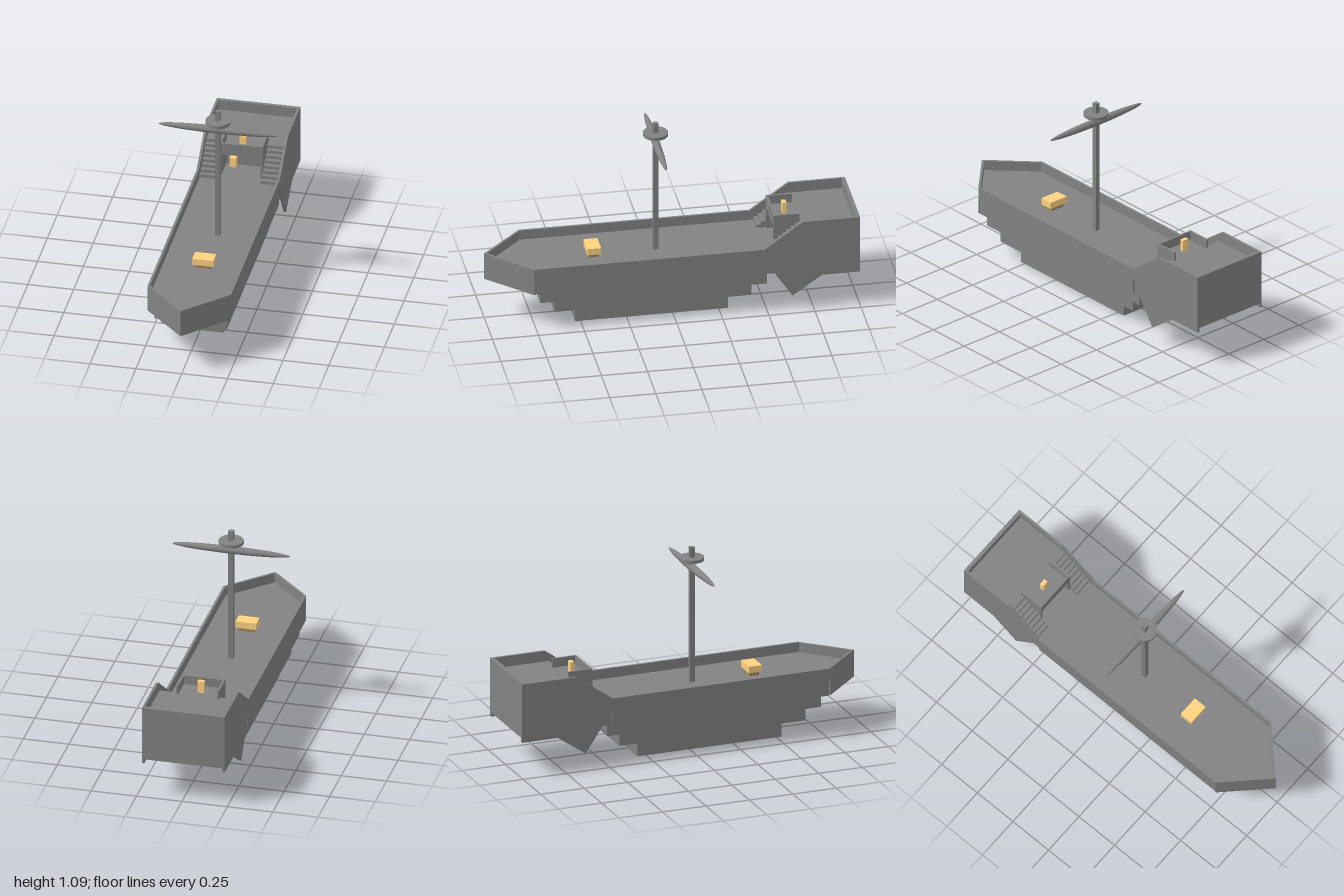
import * as THREE from 'three';

const grey = new THREE.MeshStandardMaterial({ color: 0x828282 });
const gold = new THREE.MeshStandardMaterial({ color: 0xffd280 });
const darkGold = new THREE.MeshStandardMaterial({ color: 0xa08858 });

export function createModel() {
  const ship = new THREE.Group();
  ship.name = 'ship';
  const W = 0.228; // half beam
  const T = 0.013; // plank thickness

  const add = (parent, name, geo, mat = grey) => {
    const mesh = new THREE.Mesh(geo, mat);
    mesh.name = name;
    parent.add(mesh);
    return mesh;
  };
  // box from its minimum and maximum on each axis
  const box = (parent, name, x0, x1, y0, y1, z0, z1, mat) => {
    const mesh = add(parent, name, new THREE.BoxGeometry(x1 - x0, y1 - y0, z1 - z0), mat);
    mesh.position.set((x0 + x1) / 2, (y0 + y1) / 2, (z0 + z1) / 2);
    return mesh;
  };
  const shape = (pts) => new THREE.Shape(pts.map(([a, b]) => new THREE.Vector2(a, b)));
  // plan outline (x, z) raised from y0 to y1
  const plan = (parent, name, pts, y0, y1) => {
    const geo = new THREE.ExtrudeGeometry(shape(pts.map(([x, z]) => [x, -z])), { depth: y1 - y0, bevelEnabled: false });
    geo.rotateX(-Math.PI / 2).translate(0, y0, 0);
    return add(parent, name, geo);
  };

  const hull = new THREE.Group();
  hull.name = 'hull';
  hull.position.x = -0.007;
  ship.add(hull);

  // stepped keel: half width, bottom, top, back, front
  [[0.136, 0, 0.09, -0.3, 0.53], [0.177, 0.09, 0.163, -0.42, 0.65], [0.2, 0.163, 0.23, -0.5, 0.73]]
    .forEach(([w, y0, y1, z0, z1], i) => box(hull, 'keelStep' + (i + 1), -w, w, y0, y1, z0, z1));

  // main hull, foredeck and the hollow pointed bow
  box(hull, 'mainHull', -W + 0.004, W - 0.004, 0.23, 0.33, -0.475, 0.766);
  box(hull, 'sternHull', -W + T, W - T, 0.23, 0.33, -0.982, -0.475);
  plan(hull, 'bowDeck', [[-W + T, 0.766], [W - T, 0.766], [0, 0.98]], 0.312, 0.33);
  plan(hull, 'bowWall', [[-W, 0.77], [0, 1], [W, 0.77], [W - 0.017, 0.77], [0, 0.981], [-W + 0.017, 0.77]], 0.231, 0.384);

  // stern side panel outline (z, y)
  const panelShape = shape([[-0.479, 0.384], [-0.69, 0.533], [-1, 0.533], [-1, 0.202], [-0.794, 0.202], [-0.634, 0.092], [-0.472, 0.33]]);

  // stairs climbing from the main deck to the upper deck
  const steps = 8, deckY = 0.33, upperY = 0.474;
  const rise = (upperY - deckY) / steps, run = 0.19 / steps;

  for (const s of [-1, 1]) {
    const side = s < 0 ? 'right' : 'left';
    const xs = (a, b) => (s > 0 ? [a, b] : [-b, -a]);
    box(hull, side + 'Bulwark', ...xs(W - T, W), 0.33, 0.384, -0.477, 0.77);

    const panel = new THREE.ExtrudeGeometry(panelShape, { depth: T, bevelEnabled: false });
    panel.rotateY(-Math.PI / 2);
    add(hull, side + 'SternPanel', panel).position.x = s > 0 ? W : -W + T;

    const stairs = new THREE.Group();
    stairs.name = side + 'Stairs';
    hull.add(stairs);
    for (let i = 0; i < steps; i++) {
      box(stairs, 'step', ...xs(0.118, W - T), deckY + i * rise, deckY + (i + 1) * rise, -0.69, -0.5 - i * run);
    }
    box(hull, side + 'CabinWall', ...xs(0.107, 0.119), deckY, 0.525, -0.69, -0.55);
  }

  // upper deck, balcony over the cabin recess, and stern board
  box(hull, 'upperDeck', -W + T, W - T, 0.33, upperY, -0.982, -0.69);
  box(hull, 'cabinBackWall', -0.108, 0.108, 0.33, upperY, -0.69, -0.676);
  box(hull, 'balconyFloor', -0.108, 0.108, 0.456, upperY, -0.677, -0.552);
  box(hull, 'balconyRail', -0.108, 0.108, 0.456, 0.525, -0.562, -0.55);
  box(hull, 'sternBoard', -W + T, W - T, 0.226, 0.533, -1, -0.98);

  // gold furnishings
  box(ship, 'helmPost', -0.03, 0.006, upperY, 0.541, -0.64, -0.617, gold);
  box(ship, 'cabinCrate', -0.09, -0.053, 0.33, 0.386, -0.676, -0.639, gold);
  box(ship, 'chestBase', -0.045, 0.04, 0.33, 0.355, 0.386, 0.439, darkGold);
  box(ship, 'chestLid', -0.06, 0.055, 0.352, 0.389, 0.375, 0.45, gold);

  // mast with lookout disc and tapered yard
  const mast = new THREE.Group();
  mast.name = 'mastAssembly';
  mast.position.set(0, 0, 0.07);
  ship.add(mast);
  box(mast, 'mast', -0.0135, 0.0135, 0.33, 1.092, -0.0135, 0.0135);
  add(mast, 'lookoutDisc', new THREE.CylinderGeometry(0.067, 0.067, 0.018, 32)).position.y = 1.027;
  const yard = add(mast, 'yard', new THREE.SphereGeometry(1, 32, 24).rotateZ(Math.PI / 2));
  yard.scale.set(0.324, 0.021, 0.021);
  yard.position.y = 0.977;

  return ship;
}
